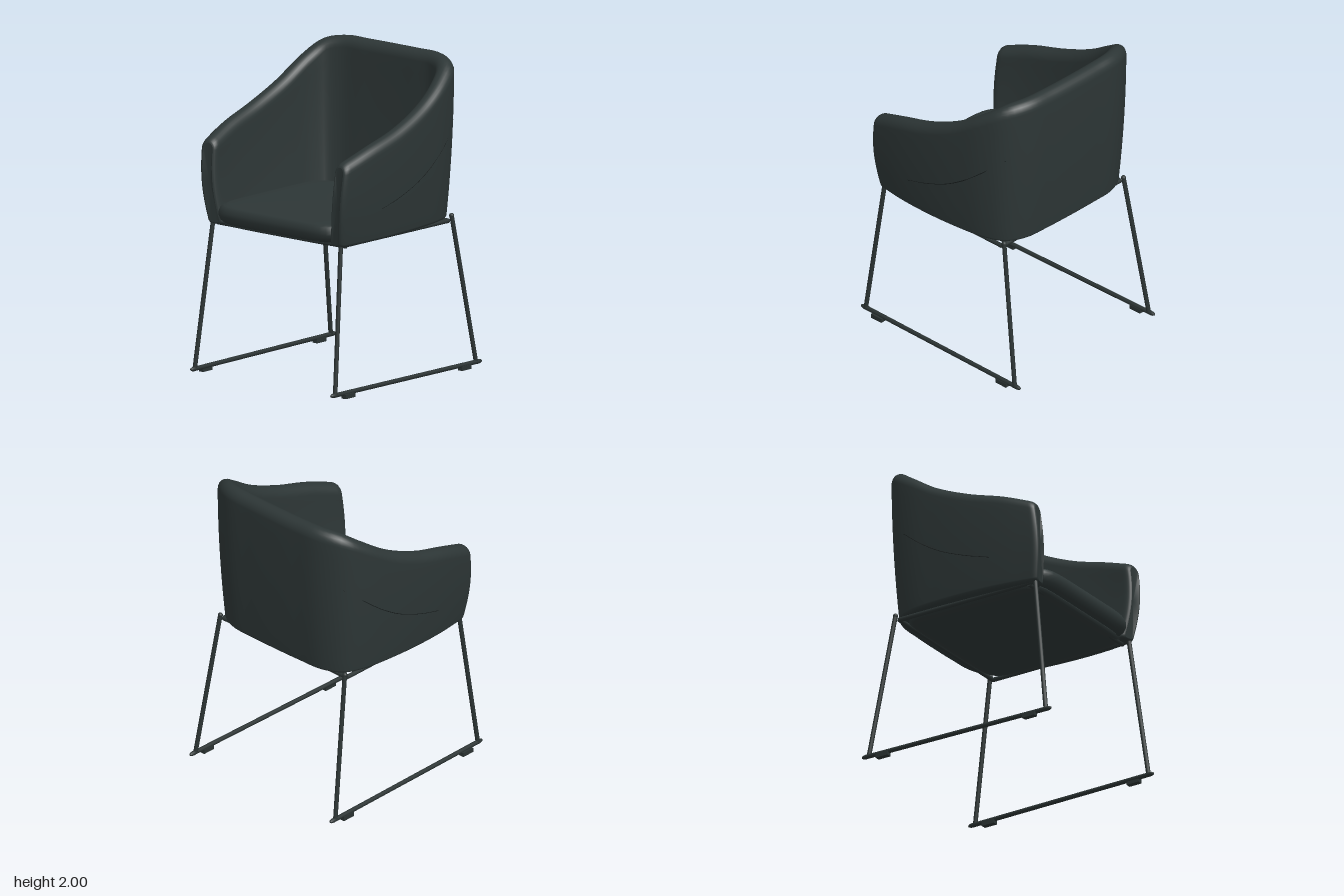
import * as THREE from 'three';

const V = (x, y, z) => new THREE.Vector3(x, y, z);

// Smooth skin over closed cross-sections; optional fan caps at both ends
function loft(rows, caps) {
  const n = rows[0].length, pos = rows.flat().flatMap(p => [p.x, p.y, p.z]), idx = [];
  for (let i = 0; i < rows.length - 1; i++) for (let j = 0; j < n; j++) {
    const a = i * n + j, c = i * n + (j + 1) % n;
    idx.push(a, a + n, c, c, a + n, c + n);
  }
  if (caps) [rows[0], rows[rows.length - 1]].forEach((row, k) => {
    const base = pos.length / 3;
    const mid = row.reduce((s, p) => s.add(p), V(0, 0, 0)).divideScalar(n);
    [mid, ...row].forEach(p => pos.push(p.x, p.y, p.z));
    for (let j = 0; j < n; j++) {
      const a = base + 1 + j, b = base + 1 + (j + 1) % n;
      idx.push(base, k ? b : a, k ? a : b);
    }
  });
  const g = new THREE.BufferGeometry();
  g.setAttribute('position', new THREE.Float32BufferAttribute(pos, 3));
  g.setIndex(idx);
  g.computeVertexNormals();
  return g;
}

// Rounded-square pad made of stacked rings: profile is [inset, y] from bottom to top
function pad(rx, rz, cz, power, profile) {
  const n = 96;
  return loft(profile.map(([inset, y]) => Array.from({ length: n }, (_, j) => {
    const a = j / n * Math.PI * 2, c = Math.cos(a), s = Math.sin(a);
    const r = Math.pow(Math.abs(c) ** power + Math.abs(s) ** power, -1 / power);
    return V(c * r * Math.max(rx - inset, 0), y, cz + s * r * Math.max(rz - inset, 0));
  })));
}

// Rim of the shell: plan position plus rim height, from left arm around the back
const half = [[0.548, 1.49, 0.57], [0.58, 1.572, 0.35], [0.592, 1.65, 0.1], [0.583, 1.76, -0.15],
  [0.557, 1.89, -0.35], [0.5, 1.975, -0.475], [0.38, 2, -0.538], [0.2, 2, -0.55]];
const rim = new THREE.CatmullRomCurve3([
  ...half.map(p => V(...p)), V(0, 2, -0.553),
  ...half.slice().reverse().map(([x, y, z]) => V(-x, y, z))]);
rim.arcLengthDivisions = 600;
const rimLength = rim.getLength();
const bottomAt = z => 0.965 - 0.02 * z;

// Point of the shell: d is the offset outwards, y the height
function shellPoint(t, d, y) {
  const p = rim.getPointAt(t), q = rim.getTangentAt(t), len = Math.hypot(q.x, q.z), yb = bottomAt(p.z);
  const v = (y - yb) / (p.y - yb), off = d - 0.05 * (1 - v) ** 2;
  const bulge = Math.max(p.z - 0.35, 0) * 0.12 * Math.sin(Math.PI * Math.min(Math.max(v, 0), 1));
  return V(p.x - q.z / len * off, y, p.z + q.x / len * off + bulge);
}

function shellSection(t) {
  const p = rim.getPointAt(t), e = Math.min(Math.min(t, 1 - t) * rimLength / 0.045, 1);
  const f = 0.6 + 0.4 * Math.sqrt(1 - (1 - e) ** 2), h = 0.059 * f;
  const top = p.y - (1 - f) * 0.05, bot = bottomAt(p.z) + (1 - f) * 0.03;
  const pts = [], r = 0.02, hi = top - h * 1.15, lo = bot + r;
  for (let k = 0; k <= 4; k++) {
    const a = k / 4 * Math.PI / 2;
    pts.push([h - r + r * Math.sin(a), lo - r * Math.cos(a)]);
  }
  for (let k = 1; k < 12; k++) pts.push([h, lo + (hi - lo) * k / 12]);
  for (let k = 0; k <= 12; k++) {
    const a = k / 12 * Math.PI;
    pts.push([h * Math.cos(a), hi + h * 1.15 * Math.sin(a)]);
  }
  for (let k = 11; k > 0; k--) pts.push([-h, lo + (hi - lo) * k / 12]);
  for (let k = 4; k >= 0; k--) {
    const a = k / 4 * Math.PI / 2;
    pts.push([-h + r - r * Math.sin(a), lo - r * Math.cos(a)]);
  }
  return pts.map(([d, y]) => shellPoint(t, d, y));
}

export function createModel() {
  const model = new THREE.Group();
  const fabric = new THREE.MeshStandardMaterial({ color: 0x2d3636 });
  const metal = new THREE.MeshStandardMaterial({ color: 0x2a3232 });
  const seamDark = new THREE.MeshStandardMaterial({ color: 0x161b1b });
  fabric.name = 'fabric';
  metal.name = 'metal';
  seamDark.name = 'seam';
  const add = (name, geo, mat, parent = model) => {
    const m = new THREE.Mesh(geo, mat);
    m.name = name;
    parent.add(m);
    return m;
  };

  // Wraparound back and arms
  const ends = [0, 0.0008, 0.002, 0.004, 0.007, 0.01, 0.014];
  const ts = [...ends];
  for (let i = 1; i < 90; i++) ts.push(0.014 + 0.972 * i / 90);
  ts.push(...ends.slice().reverse().map(t => 1 - t));
  add('backAndArms', loft(ts.map(shellSection), true), fabric);

  // Seat cushion and the pan under it
  add('seatCushion', pad(0.528, 0.535, 0.075, 7, [[1, 0.965], [0.1, 0.965], [0.03, 0.97], [0.01, 0.99],
    [0, 1.02], [0, 1.045], [0.01, 1.07], [0.025, 1.082], [0.05, 1.089], [0.12, 1.094], [0.3, 1.098], [1, 1.1]]), fabric);
  add('seatPan', pad(0.53, 0.51, 0.04, 8, [[1, 0.915], [0.2, 0.917], [0.12, 0.922], [0.06, 0.932],
    [0.02, 0.945], [0, 0.955], [0.01, 0.97], [1, 0.97]]), fabric);

  // Stitched crease on the outside of each arm
  const crease = [[0.26, 1.165], [0.1, 1.215], [-0.08, 1.29], [-0.23, 1.38], [-0.36, 1.49], [-0.47, 1.6]];
  for (const side of [1, -1]) {
    const pts = crease.map(([z, y]) => {
      let t = 0;
      while (t < 0.5 && rim.getPointAt(t).z > z) t += 0.002;
      const p = shellPoint(t, 0.0575, y);
      return V(p.x * side, p.y, p.z);
    });
    add('armSeam', new THREE.TubeGeometry(new THREE.CatmullRomCurve3(pts), 40, 0.003, 5), seamDark);
  }

  // Sled frames, one for each side
  for (const side of [1, -1]) {
    const frame = new THREE.Group();
    frame.name = side > 0 ? 'leftFrame' : 'rightFrame';
    model.add(frame);
    const rod = (name, a, b, r) => {
      const path = new THREE.LineCurve3(V(a[0] * side, a[1], a[2]), V(b[0] * side, b[1], b[2]));
      add(name, new THREE.TubeGeometry(path, 1, r, 12), metal, frame);
    };
    const ball = (name, p, r, stretch = 1) => {
      const m = add(name, new THREE.SphereGeometry(r, 12, 8), metal, frame);
      m.position.set(p[0] * side, p[1], p[2]);
      m.scale.z = stretch;
    };
    const frontTop = [0.532, 0.96, 0.548], backTop = [0.538, 0.985, -0.495];
    const frontFoot = [0.584, 0.035, 0.66], backFoot = [0.604, 0.035, -0.65];
    rod('frontLeg', frontTop, frontFoot, 0.0145);
    rod('backLeg', backTop, backFoot, 0.0145);
    rod('sideRail', frontTop, [0.532, 0.955, -0.47], 0.0145);
    rod('runner', [0.583, 0.032, 0.67], [0.605, 0.032, -0.67], 0.0145);
    ball('frontLegTop', frontTop, 0.0155);
    ball('backLegTop', backTop, 0.0165);
    ball('frontRunnerTip', [0.583, 0.032, 0.665], 0.0148, 2.6);
    ball('backRunnerTip', [0.605, 0.032, -0.665], 0.0148, 2.6);
    // Floor glides
    for (const [x, z] of [[0.594, 0.545], [0.604, -0.545]]) {
      const glide = add('floorGlide', new THREE.BoxGeometry(0.036, 0.028, 0.09), metal, frame);
      glide.position.set(x * side, 0.014, z);
    }
  }
  // Cross rails joining both frames under the seat
  for (const [z, y] of [[0.5, 0.952], [-0.47, 0.955]]) {
    const rail = add('crossRail', new THREE.CylinderGeometry(0.0145, 0.0145, 1.07, 12), metal);
    rail.rotation.z = Math.PI / 2;
    rail.position.set(0, y, z);
  }
  return model;
}
